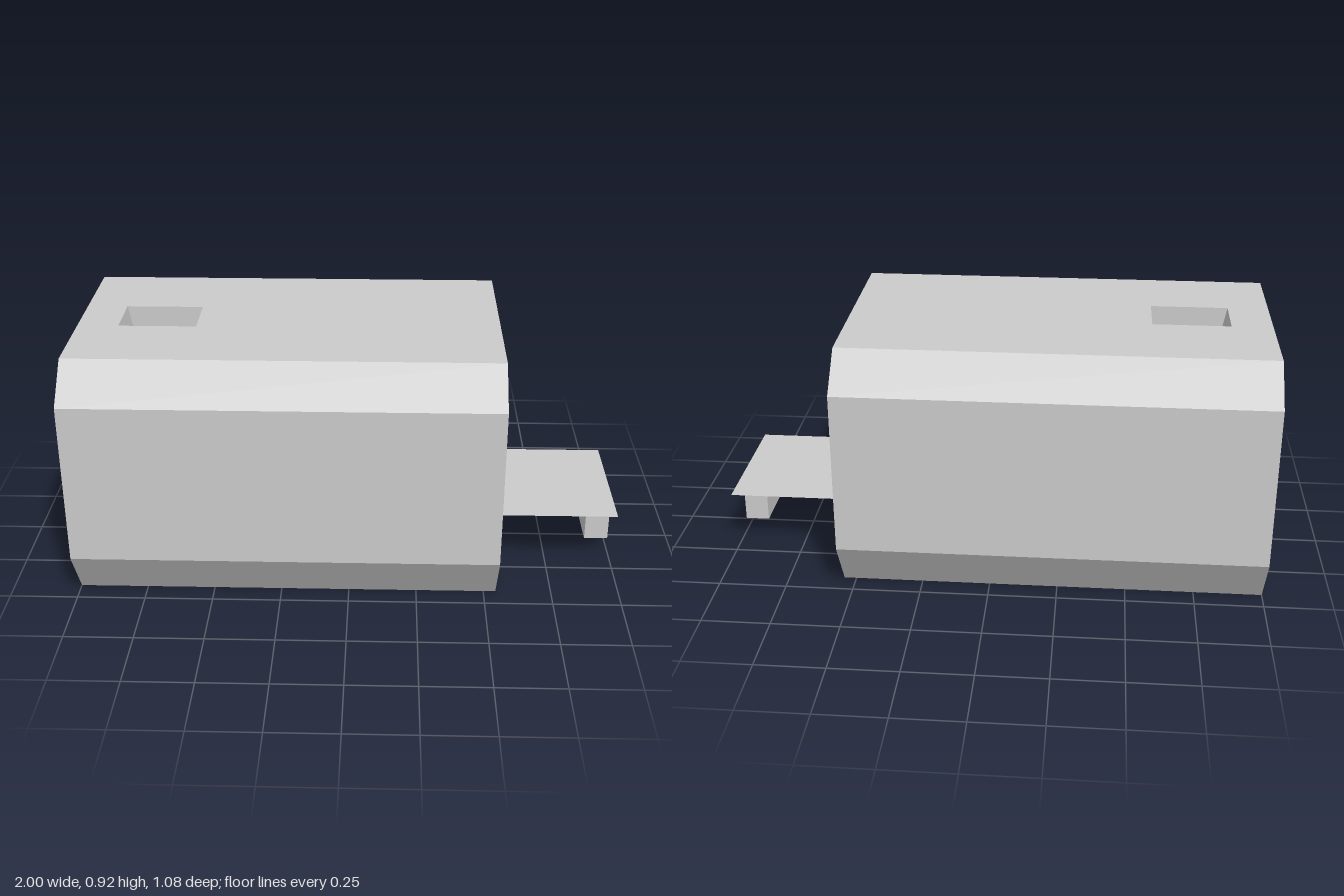
import * as THREE from 'three';

const BACK = -1, FRONT = 0.545, TOP = 0.92, CEILING = 0.51, FLOOR = 0.245;

// outlines as [z, y]
const octagon = [[0.42, 0], [0.54, 0.19], [0.54, 0.79], [0.41, TOP],
  [-0.41, TOP], [-0.54, 0.79], [-0.54, 0.19], [-0.42, 0]];
const tunnel = [[0.28, CEILING], [0.28, FLOOR], [-0.26, FLOOR], [-0.26, CEILING]];
const tongueOutline = [[0.28, FLOOR], [-0.26, FLOOR], [-0.085, 0.193], [0.11, 0.193]];

// chute outlines as [x, z], at the roof and at the tunnel ceiling
const rect = (x0, x1, z0, z1) => [[x1, z1], [x0, z1], [x0, z0], [x1, z0]];
const chuteTop = rect(-0.85, -0.565, -0.09, 0.105);
const chuteBottom = rect(-0.77, -0.58, -0.09, 0.105);

const material = new THREE.MeshStandardMaterial({ color: 0xcccccc, flatShading: true });

function add(group, name, geometry) {
  const mesh = new THREE.Mesh(geometry, material);
  mesh.name = name;
  group.add(mesh);
  return mesh;
}

function makeShape(points, hole) {
  const toV = (p) => new THREE.Vector2(p[0], p[1]);
  const shape = new THREE.Shape(points.map(toV));
  if (hole) shape.holes.push(new THREE.Path(hole.map(toV)));
  return shape;
}

// flat panel with a hole, placed in space by the rule map(u, v)
function panel(outer, hole, map) {
  const flat = new THREE.ShapeGeometry(makeShape(outer, hole)).toNonIndexed();
  const pos = flat.attributes.position;
  for (let i = 0; i < pos.count; i++) pos.setXYZ(i, ...map(pos.getX(i), pos.getY(i)));
  flat.computeVertexNormals();
  return flat;
}

// wall of quads between two matching closed loops, leaving out one side
function wall(a, b, skip = -1) {
  const out = [];
  a.forEach((p, i) => {
    if (i === skip) return;
    const j = (i + 1) % a.length;
    out.push(...p, ...b[i], ...b[j], ...p, ...b[j], ...a[j]);
  });
  const geometry = new THREE.BufferGeometry();
  geometry.setAttribute('position', new THREE.Float32BufferAttribute(out, 3));
  geometry.computeVertexNormals();
  return geometry;
}

const atX = (points, x) => points.map(([z, y]) => [x, y, z]);
const atY = (points, y) => points.map(([x, z]) => [x, y, z]);
const mirrorU = (points) => points.map(([u, v]) => [-u, v]);
const mirrorV = (points) => points.map(([u, v]) => [u, -v]);

export function createModel() {
  const model = new THREE.Group();
  model.name = 'hollowBlockWithTongue';

  // eight-sided casing, open lengthwise through the tunnel
  const body = new THREE.Group();
  body.name = 'body';
  model.add(body);
  add(body, 'casingSides', wall(atX(octagon, BACK), atX(octagon, FRONT), 3));
  add(body, 'roof', panel(mirrorV(rect(BACK, FRONT, -0.41, 0.41)), mirrorV(chuteTop),
    (u, v) => [u, TOP, -v]));
  add(body, 'tongueEndFace', panel(mirrorU(octagon), mirrorU(tunnel), (u, v) => [FRONT, v, -u]));
  add(body, 'plainEndFace', panel(octagon, tunnel, (u, v) => [BACK, v, u]));

  // tunnel lining, with the chute opening in its ceiling
  add(body, 'tunnelWalls', wall(atX(tunnel, BACK), atX(tunnel, FRONT), 3));
  add(body, 'tunnelCeiling', panel(rect(BACK, FRONT, -0.26, 0.28), chuteBottom,
    (u, v) => [u, CEILING, v]));
  add(body, 'chute', wall(atY(chuteTop, TOP), atY(chuteBottom, CEILING)));

  // tongue continuing the tunnel floor, bevelled below
  const tongue = new THREE.ExtrudeGeometry(makeShape(mirrorU(tongueOutline)),
    { depth: 1 - FRONT, bevelEnabled: false });
  tongue.rotateY(Math.PI / 2);
  add(model, 'tongue', tongue).position.x = FRONT;

  // catch under the tip
  add(model, 'catch', new THREE.BoxGeometry(0.09, 0.145, 0.195))
    .position.set(0.955, 0.1225, 0.0125);

  return model;
}
